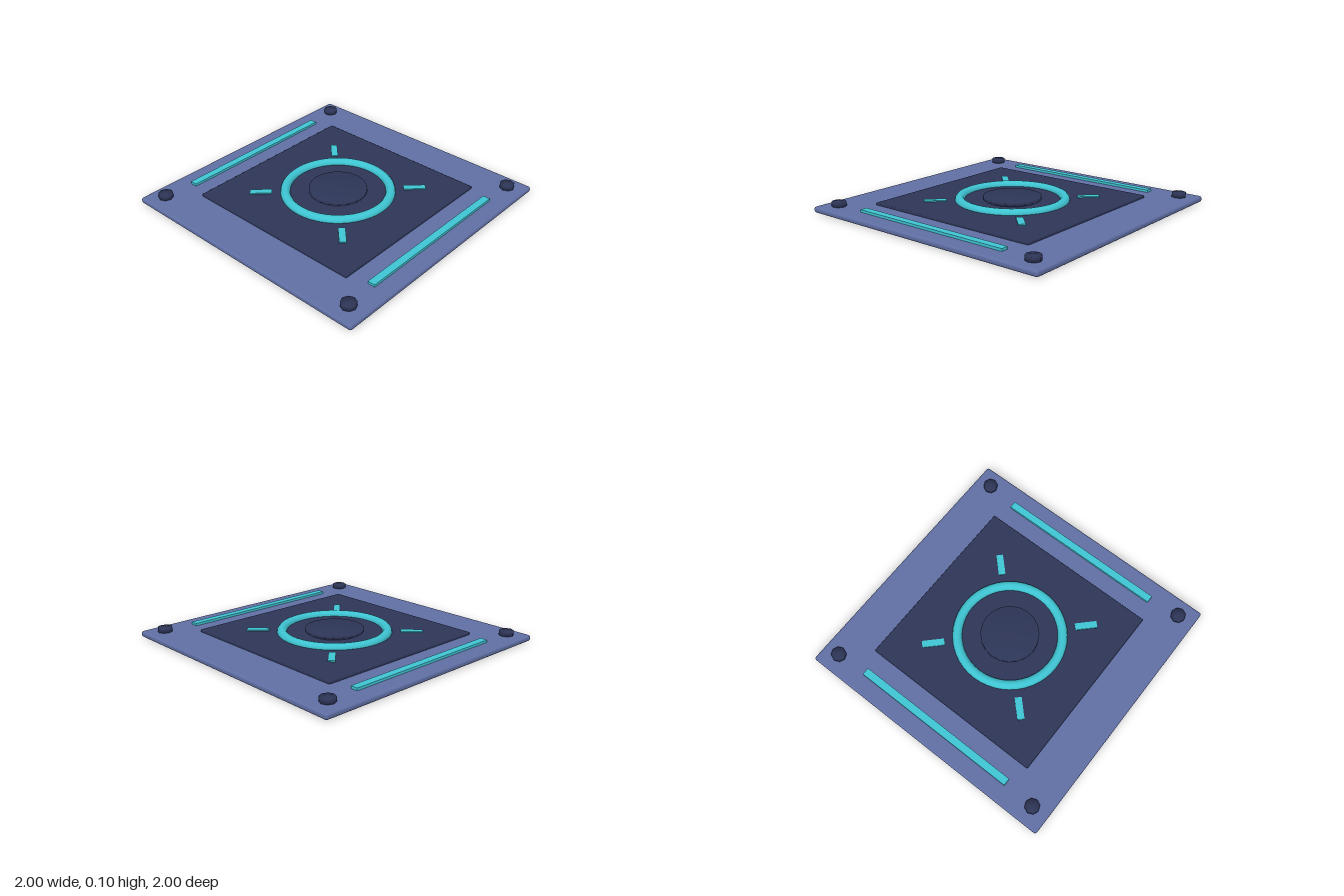
import * as THREE from 'three';
import { mergeVertices } from 'three/addons/utils/BufferGeometryUtils.js';
import { RoundedBoxGeometry } from 'three/addons/geometries/RoundedBoxGeometry.js';

export function createModel() {
  const model = new THREE.Group();
  model.name = 'floorPlate';

  const material = (name, color) => {
    const m = new THREE.MeshStandardMaterial({ color });
    m.name = name;
    return m;
  };
  const blue = material('slateBlue', 0x5f6ea3);
  const navy = material('darkNavy', 0x2d3557);
  const teal = material('glowTeal', 0x3ec4d2);

  const add = (name, geometry, mat, x, y, z, turn = 0) => {
    const mesh = new THREE.Mesh(geometry, mat);
    mesh.name = name;
    mesh.position.set(x, y, z);
    mesh.rotation.y = turn;
    model.add(mesh);
    return mesh;
  };

  // Disc whose rim and cap share normals, for a softly domed shading
  const softDisc = (radius, height, sides) => {
    const g = new THREE.CylinderGeometry(radius, radius, height, sides);
    g.deleteAttribute('normal');
    g.deleteAttribute('uv');
    const merged = mergeVertices(g);
    merged.computeVertexNormals();
    return merged;
  };

  // Plate and raised centre panel
  add('basePlate', new RoundedBoxGeometry(2, 0.044, 2, 2, 0.018), blue, 0, 0.022, 0);
  add('centrePanel', new RoundedBoxGeometry(1.38, 0.04, 1.38, 1, 0.008), navy, 0, 0.042, 0);

  // Ring and hub
  const ring = new THREE.TorusGeometry(0.38, 0.035, 12, 48);
  ring.rotateX(Math.PI / 2);
  add('ring', ring, teal, 0, 0.064, 0);
  add('hub', softDisc(0.212, 0.03, 20), navy, 0, 0.072, 0);

  // Diagonal ticks around the ring and bolts in the corners
  const tick = new THREE.BoxGeometry(0.16, 0.014, 0.05);
  const bolt = softDisc(0.053, 0.038, 8);
  for (const sx of [-1, 1]) {
    for (const sz of [-1, 1]) {
      add('tick', tick, teal, sx * 0.392, 0.063, sz * 0.392, -sx * sz * Math.PI / 4);
      add('cornerBolt', bolt, navy, sx * 0.872, 0.059, sz * 0.872);
    }
  }

  // Light strips along the front and back edges
  const strip = new THREE.BoxGeometry(1.275, 0.02, 0.055);
  for (const s of [-1, 1]) add('lightStrip', strip, teal, 0, 0.052, s * 0.85);

  return model;
}
